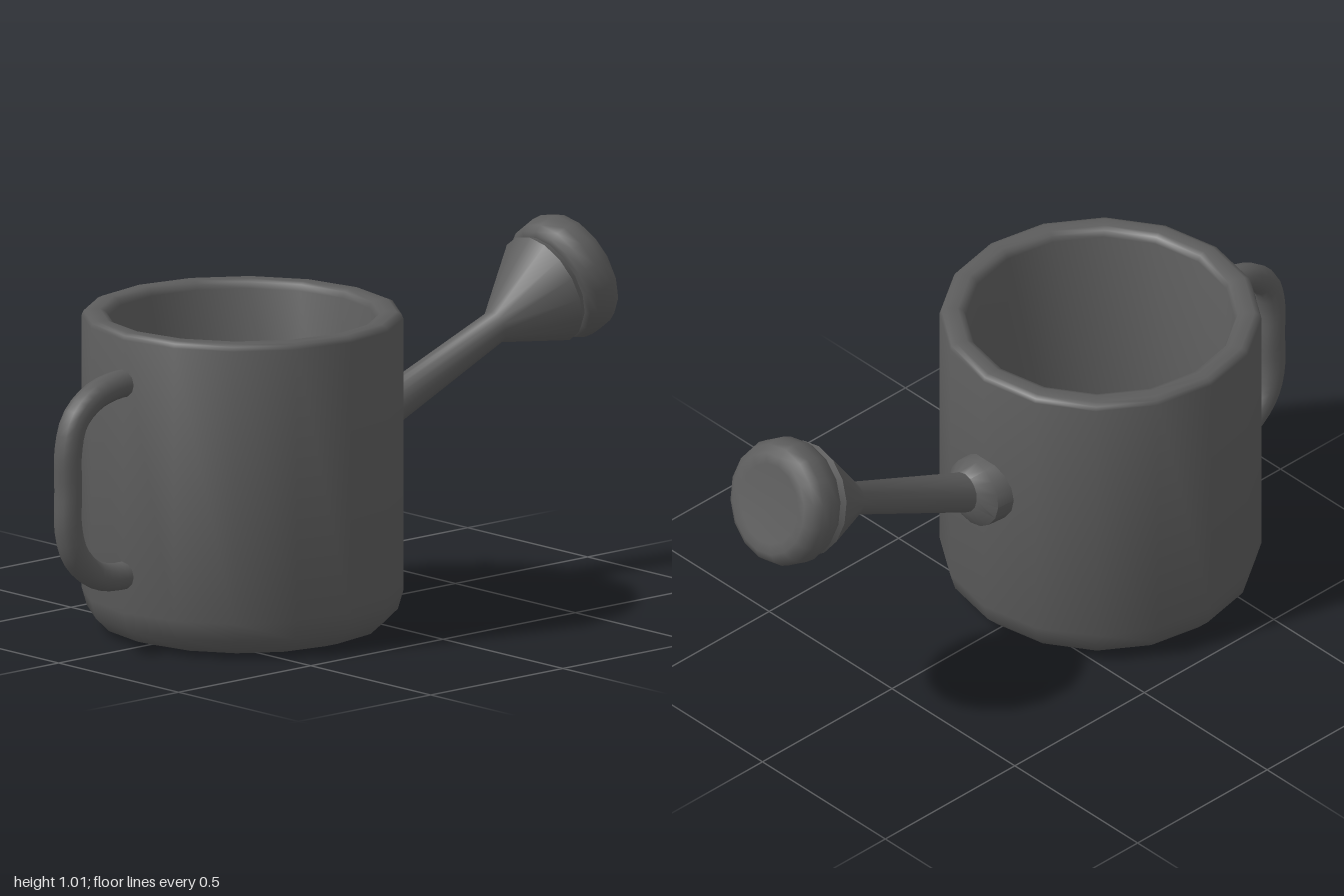
import * as THREE from 'three';
import { toCreasedNormals } from 'three/addons/utils/BufferGeometryUtils.js';

const SIDES = 16;
const CREASE = 0.85;

// Skin through circular sections, each [centre, radius, axis direction]
function loft(sections) {
  const positions = [];
  const index = [];
  sections.forEach(([centre, radius, axis], i) => {
    const n = new THREE.Vector3(...axis).normalize();
    const u = new THREE.Vector3(1, 0, 0).addScaledVector(n, -n.x).normalize();
    const v = n.clone().cross(u);
    for (let j = 0; j < SIDES; j++) {
      const t = (j / SIDES) * Math.PI * 2;
      const p = new THREE.Vector3(...centre)
        .addScaledVector(u, radius * Math.cos(t))
        .addScaledVector(v, radius * Math.sin(t));
      positions.push(p.x, p.y, p.z);
      if (i === 0) continue;
      const k = (j + 1) % SIDES;
      const a = (i - 1) * SIDES;
      const b = i * SIDES;
      index.push(a + j, a + k, b + k, a + j, b + k, b + j);
    }
  });
  const geometry = new THREE.BufferGeometry();
  geometry.setAttribute('position', new THREE.Float32BufferAttribute(positions, 3));
  geometry.setIndex(index);
  return toCreasedNormals(geometry, CREASE);
}

export function createModel() {
  const group = new THREE.Group();
  const darkGrey = new THREE.MeshStandardMaterial({ color: 0x5c5c5c });
  darkGrey.name = 'dark grey';

  function add(name, geometry) {
    const mesh = new THREE.Mesh(geometry, darkGrey);
    mesh.name = name;
    group.add(mesh);
    return mesh;
  }

  // Open can: rounded base, thick rounded rim and hollow inside
  const profile = [
    [0, 0], [0.345, 0], [0.397, 0.016], [0.436, 0.055], [0.451, 0.107],
    [0.451, 0.89], [0.446, 0.902], [0.432, 0.908],
    [0.4, 0.908], [0.385, 0.902], [0.377, 0.885],
    [0.375, 0.08], [0, 0.08],
  ].map(([r, y]) => new THREE.Vector2(r, y));
  const can = add('can', toCreasedNormals(new THREE.LatheGeometry(profile, SIDES), CREASE));
  can.position.z = 0.305;

  // Handle: a bent tube whose ends sink into the wall
  const handlePath = new THREE.CatmullRomCurve3([
    [0.71, 0.765], [0.79, 0.763], [0.87, 0.74], [0.935, 0.685], [0.96, 0.6],
    [0.96, 0.49], [0.96, 0.38], [0.935, 0.3], [0.875, 0.24], [0.8, 0.215], [0.71, 0.215],
  ].map(([z, y]) => new THREE.Vector3(-0.004, y, z)));
  add('handle', new THREE.TubeGeometry(handlePath, 30, 0.04, 12));

  // Collar where the spout meets the can
  add('spoutCollar', loft([
    [[0, 0.517, -0.09], 0.102, [0, 0, -1]],
    [[0, 0.523, -0.185], 0.1, [0, 0.1, -1]],
    [[0.005, 0.54, -0.222], 0.06, [0, 0.15, -1]],
    [[0.005, 0.54, -0.222], 0, [0, 0.15, -1]],
  ]));

  // Thin neck flaring into a funnel
  const headAxis = [0.04, 0.31, -0.95];
  add('spout', loft([
    [[0.005, 0.53, -0.2], 0.058, [0, 0.25, -1]],
    [[0.02, 0.72, -0.63], 0.047, [0.02, 0.26, -1]],
    [[0.028, 0.805, -0.805], 0.163, headAxis],
    [[0.028, 0.812, -0.826], 0.15, headAxis],
  ]));

  // Rounded sprinkler head, [distance along axis, radius]
  const axis = new THREE.Vector3(...headAxis).normalize();
  const headCentre = new THREE.Vector3(0.032, 0.83, -0.877);
  const headProfile = [
    [-0.053, 0], [-0.055, 0.15], [-0.05, 0.166], [-0.03, 0.178], [0, 0.182],
    [0.03, 0.18], [0.056, 0.168], [0.071, 0.145], [0.068, 0.115], [0.066, 0],
  ];
  add('sprinklerHead', loft(headProfile.map(([d, r]) => [
    headCentre.clone().addScaledVector(axis, d).toArray(), r, headAxis,
  ])));

  return group;
}
